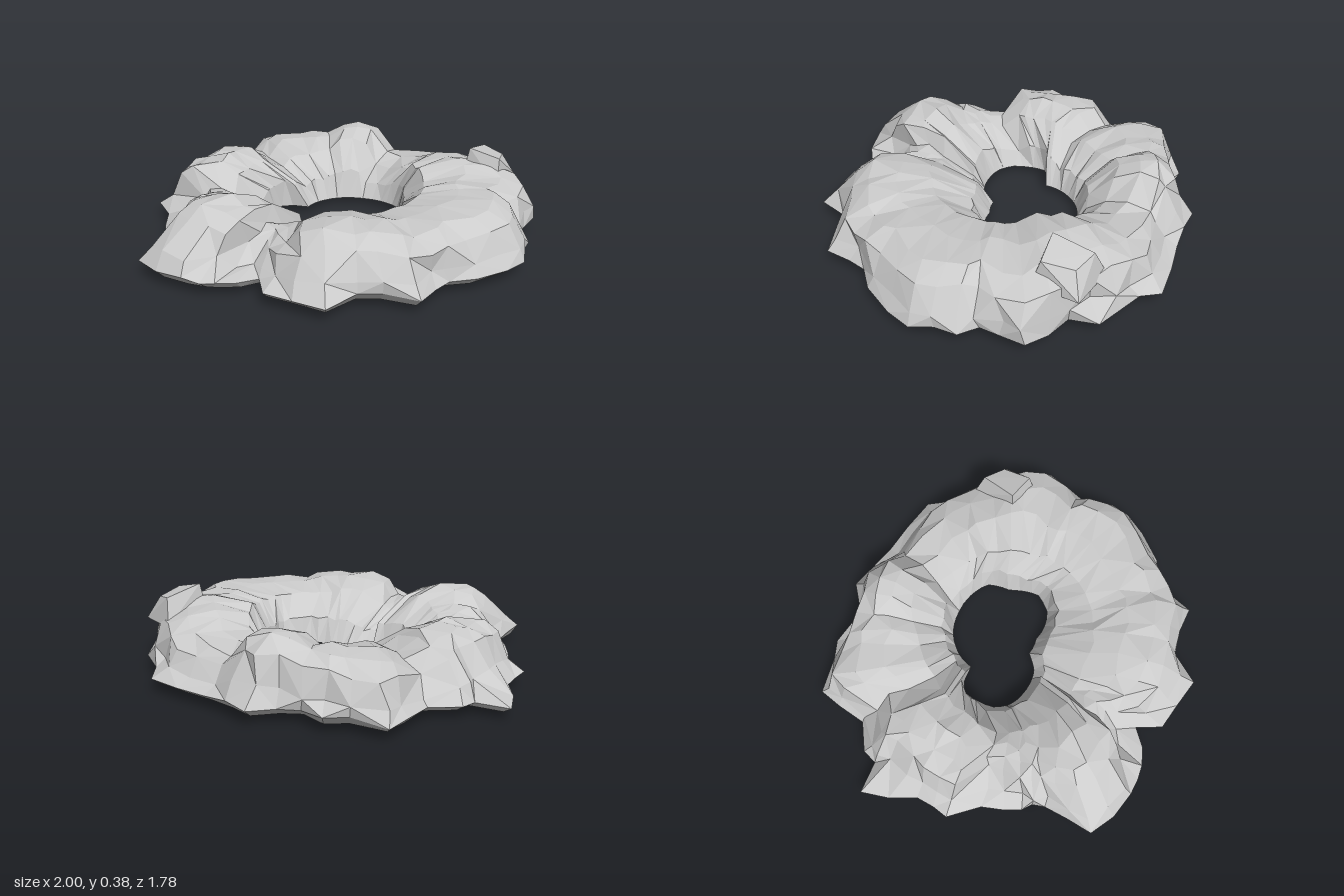
import * as THREE from 'three';
import { ConvexGeometry } from 'three/addons/geometries/ConvexGeometry.js';

// Tables around the ring: [degrees from +x towards +z, value]
// Foot radius; its angles also place the cross-sections
const FOOT = [[0, 1], [7, .97], [17, .92], [24, .86], [30, .88], [37, .94], [45, .84], [52, .82], [61, .92], [70, .86], [79, .83],
  [84, .72], [89, .8], [94, .85], [98, .88], [103, .91], [111, .95], [119, .97], [124, .87], [130, .79], [134, .76], [138, .79],
  [144, .79], [152, .79], [162, .88], [167, .86], [173, .86], [180, .94], [187, 1.01], [191, .87], [196, .88], [205, .82],
  [213, .9], [219, .97], [228, .88], [235, .89], [242, .81], [249, .83], [256, .9], [264, .87], [273, .87], [283, .91],
  [293, .97], [299, .93], [306, .94], [313, .97], [320, .91], [326, .97], [332, 1.02], [338, .96], [343, .93], [348, .98], [354, .97]];
// Hole radius about its own centre
const HOLE = [[0, .34], [18, .31], [45, .2], [72, .17], [90, .24], [128, .33], [143, .34], [178, .3], [184, .18],
  [225, .21], [270, .26], [312, .33], [334, .3]];
const HEIGHT = [[0, .285], [30, .27], [45, .29], [60, .3], [68, .28], [76, .22], [84, .2], [94, .2], [98, .29], [111, .325],
  [119, .31], [130, .27], [140, .24], [152, .21], [162, .29], [175, .315], [191, .31], [198, .27], [205, .23], [213, .27],
  [228, .28], [242, .29], [249, .33], [259, .355], [266, .33], [273, .22], [288, .22], [299, .27], [306, .3], [318, .32],
  [326, .32], [335, .29]];
const INNER = [[0, .46], [30, .42], [60, .38], [75, .36], [90, .38], [120, .44], [150, .45], [180, .43], [195, .42],
  [210, .41], [230, .46], [255, .52], [275, .51], [300, .48]];
// Outer edge of the top, and the widest part of the side wall under it
const OUTER = [[0, .92], [17, .84], [37, .84], [45, .79], [61, .75], [78, .7], [86, .55], [94, .58], [98, .72], [111, .78],
  [119, .77], [130, .67], [150, .6], [162, .74], [187, .74], [196, .76], [205, .73], [213, .84], [219, .89], [230, .81],
  [245, .75], [256, .79], [270, .76], [293, .84], [313, .88], [332, .94], [343, .88]];
const WALL = [[0, .98], [17, .89], [30, .85], [37, .89], [45, .82], [61, .82], [78, .76], [86, .63], [95, .7], [103, .86],
  [119, .91], [130, .75], [150, .7], [162, .8], [187, .82], [196, .83], [205, .78], [219, .94], [235, .84], [245, .79],
  [256, .83], [270, .8], [293, .88], [306, .91], [320, .9], [332, 1], [343, .92]];

// Linear lookup around the closed ring
function sample(table, deg) {
  const closed = [...table, [360, table[0][1]]];
  const k = closed.findIndex(([a]) => a > deg);
  const [a0, v0] = closed[k - 1], [a1, v1] = closed[k];
  return v0 + (v1 - v0) * (deg - a0) / (a1 - a0);
}

function seeded(seed) {
  return () => {
    seed = (seed * 16807) % 2147483647;
    return seed / 2147483647 - 0.5;
  };
}

function rockRing() {
  const rand = seeded(4177), base = 0.035, centreZ = -0.1;
  const rings = FOOT.map(([deg, foot]) => {
    const a = THREE.MathUtils.degToRad(deg);
    const at = (r, y, cz = 0) => new THREE.Vector3(r * Math.cos(a), y, cz + r * Math.sin(a));
    const h = sample(HEIGHT, deg);
    const inR = sample(INNER, deg);
    const outR = sample(OUTER, deg);
    const hole = at(sample(HOLE, deg), base, centreZ);
    const crest = at(inR, h * 0.88);

    // Cross-section from the hole, over the crest, down the wall to the foot
    const section = [
      hole,
      hole.clone().lerp(crest, 0.25).setY(h * 0.52),
      crest,
      at(inR * 0.6 + outR * 0.4, h),
      at(inR * 0.25 + outR * 0.75, h * 0.97),
      at(outR, h * 0.82),
      at(Math.min(sample(WALL, deg), foot - 0.01), h * 0.45),
      at(foot, 0.07 + rand() * 0.02),
      at(foot - 0.04, base),
    ];
    // Chip the rock, less towards the hole, leaving its outline and base alone
    section.slice(1, 7).forEach((p, j) => {
      const chip = j < 2 ? 0.02 : 0.04;
      p.x += rand() * chip;
      p.y += rand() * 0.025;
      p.z += rand() * chip;
    });
    return section;
  });
  // One loose chip hangs below the base
  rings[FOOT.findIndex(([deg]) => deg === 134)][7].y = 0;

  const points = [], index = [], n = rings[0].length;
  rings.forEach((ring, i) => ring.forEach((p, j) => {
    points.push(p.x, p.y, p.z);
    const i2 = (i + 1) % rings.length, j2 = (j + 1) % n;
    const A = i * n + j, B = i2 * n + j, C = i2 * n + j2, D = i * n + j2;
    if ((i + j) % 2) index.push(A, B, D, B, C, D);
    else index.push(A, B, C, A, C, D);
  }));
  const geometry = new THREE.BufferGeometry();
  geometry.setAttribute('position', new THREE.Float32BufferAttribute(points, 3));
  geometry.setIndex(index);
  const flat = geometry.toNonIndexed();
  flat.computeVertexNormals();
  return flat;
}

// A sharp slab standing proud of the ring, highest at its inner front corner
function peak() {
  return new ConvexGeometry([
    [.53, .22, -.43], [.72, .22, -.42], [.74, .22, -.64], [.52, .22, -.68],
    [.56, .385, -.45], [.71, .35, -.46], [.68, .33, -.6], [.57, .35, -.64],
  ].map((p) => new THREE.Vector3(...p)));
}

export function createModel() {
  const group = new THREE.Group();
  const material = new THREE.MeshStandardMaterial({ color: 0xcccccc, flatShading: true });
  const add = (name, geometry) => {
    const mesh = new THREE.Mesh(geometry, material);
    mesh.name = name;
    group.add(mesh);
  };
  add('rockRing', rockRing());
  add('peak', peak());
  return group;
}
